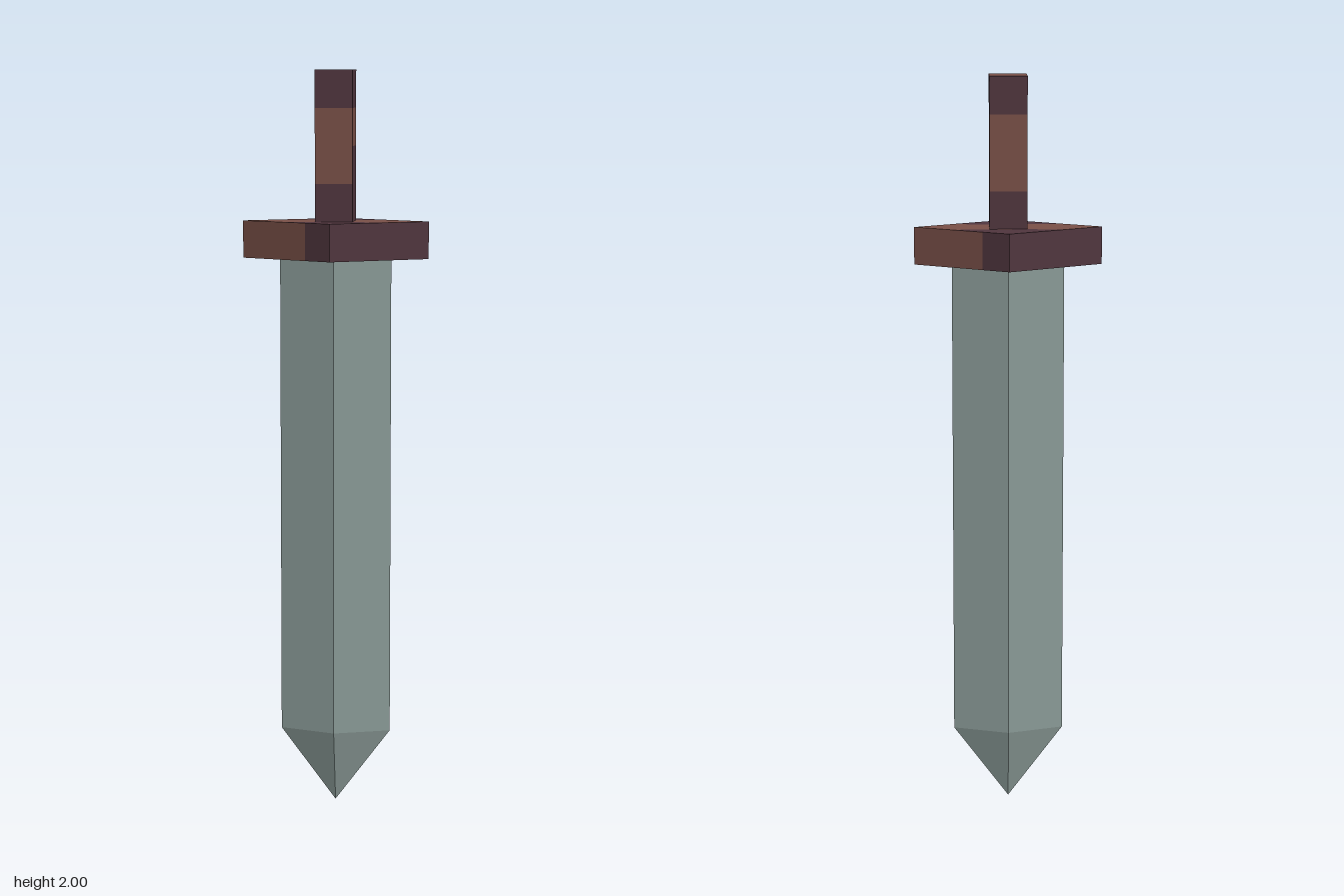
import * as THREE from 'three';

// Flat-faced mesh from convex polygons, each a list of [x, y, z] corners, fanned from its first corner
function facesMesh(name, polygons, material) {
  const pos = [];
  for (const p of polygons) {
    for (let i = 1; i < p.length - 1; i++) pos.push(...p[0], ...p[i], ...p[i + 1]);
  }
  const geo = new THREE.BufferGeometry();
  geo.setAttribute('position', new THREE.Float32BufferAttribute(pos, 3));
  geo.computeVertexNormals();
  const mesh = new THREE.Mesh(geo, material);
  mesh.name = name;
  return mesh;
}

// Upright panel between plan points a and b, [x, z], outside on the right hand
const wall = (a, b, y0, y1) => [[a[0], y0, a[1]], [b[0], y0, b[1]], [b[0], y1, b[1]], [a[0], y1, a[1]]];
const cap = (pts, y) => pts.map(([x, z]) => [x, y, z]);
const diamond = (w, d) => [[-w, 0], [0, d], [w, 0], [0, -d]];

export function createModel() {
  const steel = new THREE.MeshStandardMaterial({ name: 'greySteel', color: 0x8b9b98 });
  const brown = new THREE.MeshStandardMaterial({ name: 'lightBrown', color: 0x7a5048 });
  const plum = new THREE.MeshStandardMaterial({ name: 'darkPlum', color: 0x50363e });
  const model = new THREE.Group();
  model.name = 'sword';

  // Blade: diamond section with a pointed tip at the ground
  const ring = diamond(0.15, 0.05);
  const bladeFaces = [cap(ring, 1.5)];
  ring.forEach((a, i) => {
    const b = ring[(i + 1) % 4];
    bladeFaces.push(wall(a, b, 0.2, 1.5), [[0, 0, 0], [b[0], 0.2, b[1]], [a[0], 0.2, a[1]]]);
  });
  model.add(facesMesh('blade', bladeFaces, steel));

  // Guard: diamond slab with a brown band over its top and dark points
  const guard = new THREE.Group();
  guard.name = 'guard';
  const y0 = 1.5, y1 = 1.6;
  const guardBrown = [cap(diamond(0.25, 0.15).reverse(), y0)];
  const guardPlum = [];
  for (const s of [1, -1]) {
    const turn = (pts) => pts.map(([x, z]) => [x * s, z * s]);
    const [left, split, front, right] = turn([[-0.25, 0], [-0.07, 0.108], [0, 0.15], [0.25, 0]]);
    guardBrown.push(wall(left, split, y0, y1));
    guardPlum.push(wall(split, front, y0, y1), wall(front, right, y0, y1));
    const edge = turn([[-0.14, 0.066], [-0.12, 0.054], [0.05, 0.05], [0.15, 0.06]]);
    guardBrown.push(cap([[0, 0], left, ...edge, right], y1));
    guardPlum.push(cap([front, ...edge.slice().reverse()], y1));
  }
  guard.add(facesMesh('guardBrown', guardBrown, brown), facesMesh('guardPlum', guardPlum, plum));
  model.add(guard);

  // Grip: square bar, wrapped in brown bands; the band is shorter on the left side
  const grip = new THREE.Group();
  grip.name = 'grip';
  const h = 0.05;
  const square = [[-h, -h], [-h, h], [h, h], [h, -h]];
  const bandStart = [1.7, 1.7, 1.8, 1.7];
  const gripBrown = [cap(square, 2)];
  const gripPlum = [];
  square.forEach((a, i) => {
    const b = square[(i + 1) % 4];
    gripPlum.push(wall(a, b, 1.6, bandStart[i]), wall(a, b, 1.9, 2));
    gripBrown.push(wall(a, b, bandStart[i], 1.9));
  });
  grip.add(facesMesh('gripBrown', gripBrown, brown), facesMesh('gripPlum', gripPlum, plum));
  model.add(grip);

  return model;
}
